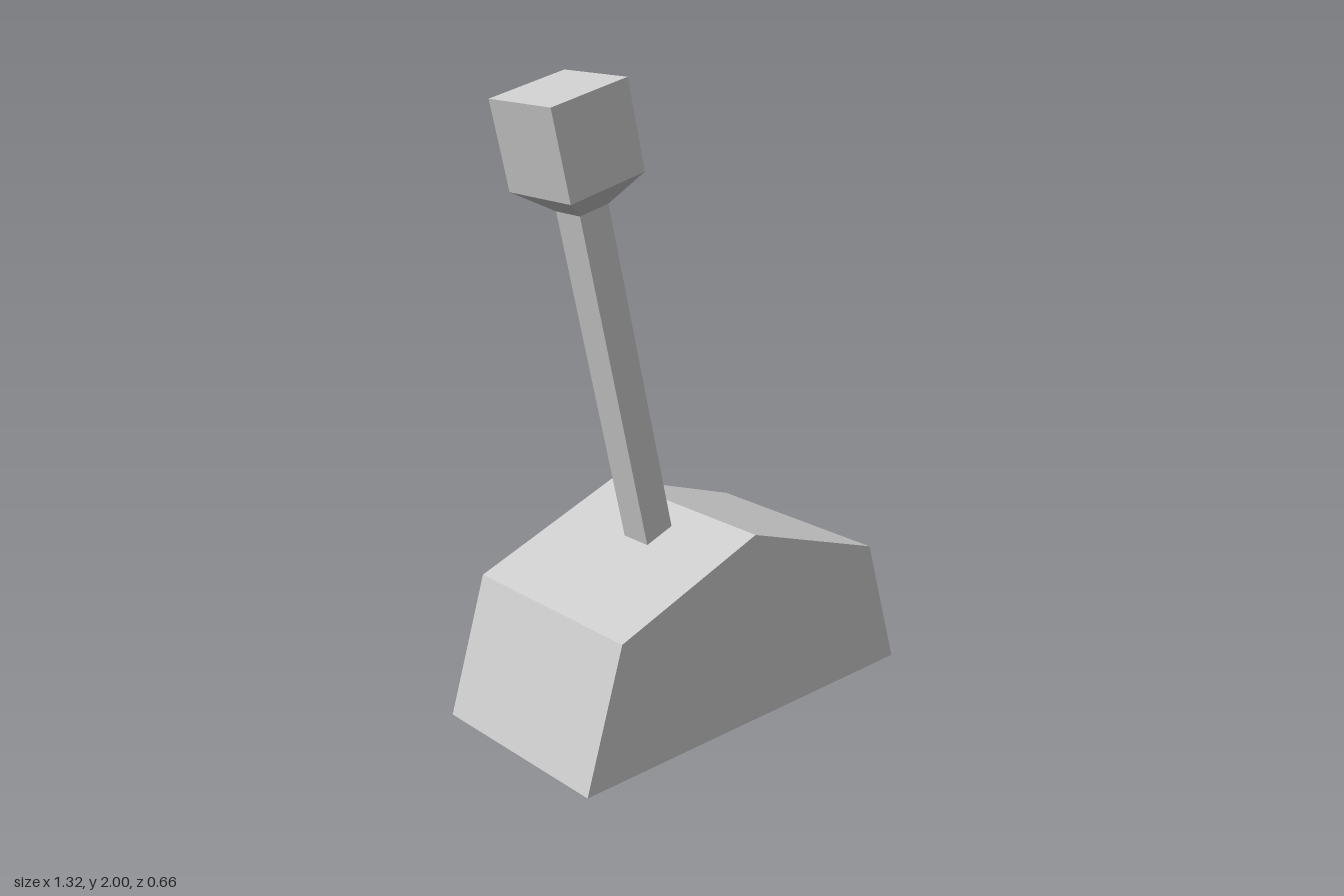
import * as THREE from 'three';

const grey = new THREE.MeshStandardMaterial({ color: 0xcccccc, side: THREE.DoubleSide });
grey.name = 'plain grey';

function part(name, geometry) {
  const mesh = new THREE.Mesh(geometry, grey);
  mesh.name = name;
  return mesh;
}

// Square block from y0 to y1 on the lever axis
function block(name, width, y0, y1) {
  const geometry = new THREE.BoxGeometry(width, y1 - y0, width);
  geometry.translate(0, (y0 + y1) / 2, 0);
  return part(name, geometry);
}

// Gabled housing shell, open underneath
function housing() {
  const group = new THREE.Group();
  group.name = 'housing';
  const half = 0.33;
  const profile = [[0.66, 0.033], [0.525, 0.465], [0, 0.65], [-0.525, 0.465], [-0.66, 0.033]];
  const outline = new THREE.Shape(profile.map(([x, y]) => new THREE.Vector2(x, y)));
  const front = part('frontWall', new THREE.ShapeGeometry(outline));
  front.position.z = half;
  const back = part('backWall', new THREE.ShapeGeometry(outline).rotateY(Math.PI));
  back.position.z = -half;

  const corners = [];
  for (let i = 0; i < profile.length - 1; i++) {
    const [ax, ay] = profile[i];
    const [bx, by] = profile[i + 1];
    corners.push(ax, ay, half, ax, ay, -half, bx, by, -half);
    corners.push(ax, ay, half, bx, by, -half, bx, by, half);
  }
  const skin = new THREE.BufferGeometry();
  skin.setAttribute('position', new THREE.Float32BufferAttribute(corners, 3));
  skin.computeVertexNormals();
  group.add(front, back, part('sidesAndRoof', skin));
  return group;
}

export function createModel() {
  const model = new THREE.Group();
  model.name = 'leverSwitch';
  model.add(housing());

  // Tilted lever: stick, flared neck and cubic knob
  const lever = new THREE.Group();
  lever.name = 'lever';
  lever.position.y = 0.012;
  lever.rotation.z = THREE.MathUtils.degToRad(12.9);
  let neck = new THREE.CylinderGeometry(0.135 * Math.SQRT2, 0.0525 * Math.SQRT2, 0.075, 4, 1, true);
  neck = neck.rotateY(Math.PI / 4).translate(0, 1.7025, 0).toNonIndexed();
  neck.computeVertexNormals();
  lever.add(block('stick', 0.105, 0, 1.67), part('neck', neck), block('knob', 0.27, 1.74, 2.008));
  model.add(lever);
  return model;
}
